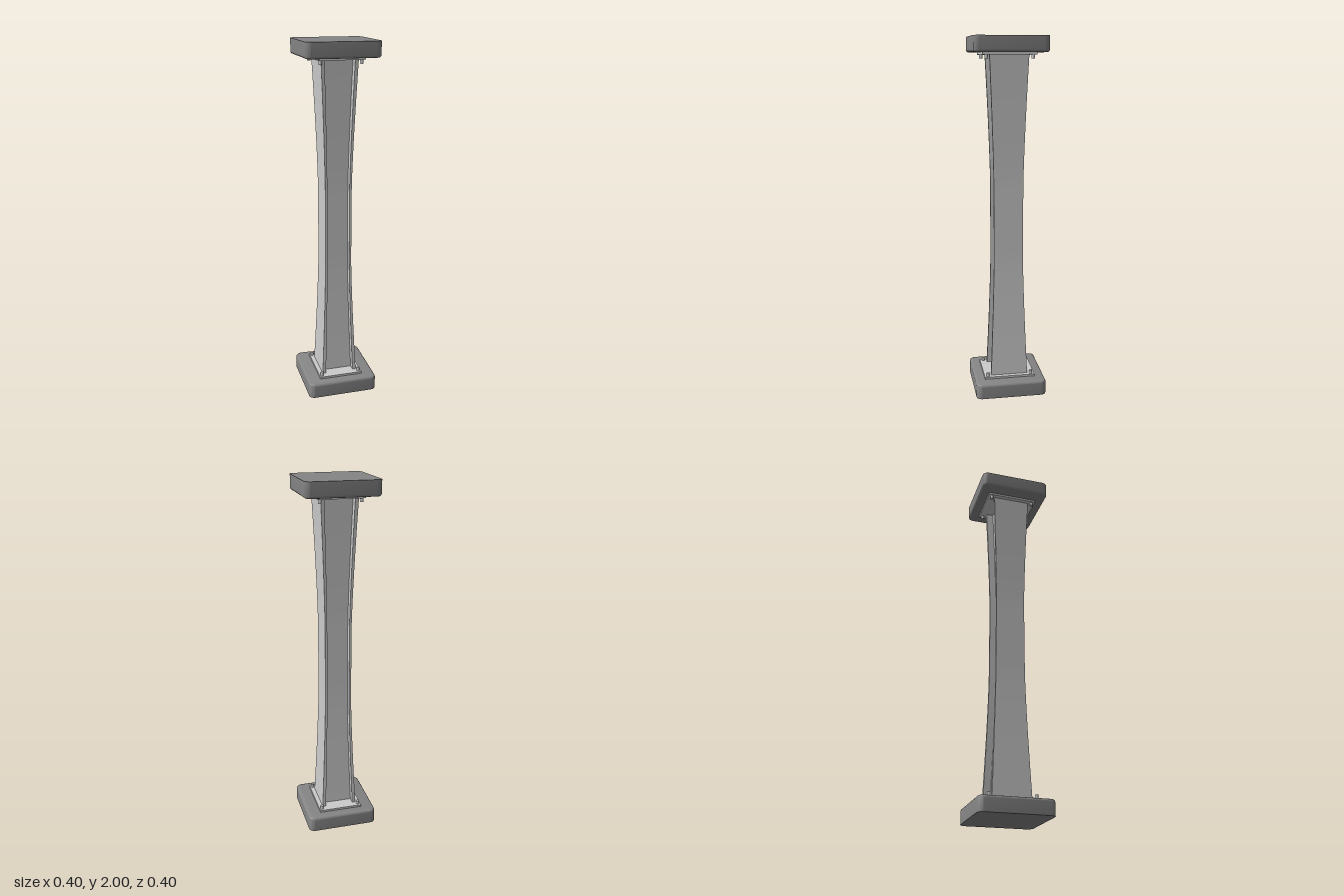
import * as THREE from 'three';
import { toCreasedNormals } from 'three/addons/utils/BufferGeometryUtils.js';

const steel = new THREE.MeshStandardMaterial({ color: 0xcccccc });
const darkStone = new THREE.MeshStandardMaterial({ color: 0x858585 });

// Solid through matching counter-clockwise outlines, one per height
function loft(outlines, heights) {
  const n = outlines[0].length;
  const positions = [];
  const index = [];
  outlines.forEach((ring, k) => ring.forEach((p) => positions.push(p.x, heights[k], -p.y)));
  for (let k = 0; k < outlines.length - 1; k++) {
    for (let i = 0; i < n; i++) {
      const a = k * n + i;
      const b = k * n + ((i + 1) % n);
      index.push(a, b, b + n, a, b + n, a + n);
    }
  }
  const top = (outlines.length - 1) * n;
  for (const [a, b, c] of THREE.ShapeUtils.triangulateShape(outlines[0], [])) index.push(c, b, a);
  for (const [a, b, c] of THREE.ShapeUtils.triangulateShape(outlines[outlines.length - 1], [])) {
    index.push(top + a, top + b, top + c);
  }
  const geometry = new THREE.BufferGeometry();
  geometry.setAttribute('position', new THREE.Float32BufferAttribute(positions, 3));
  geometry.setIndex(index);
  return toCreasedNormals(geometry, 0.5);
}

function roundedSquare(half, radius) {
  const points = [];
  const c = half - radius;
  [[1, 1], [-1, 1], [-1, -1], [1, -1]].forEach(([sx, sy], quarter) => {
    for (let i = 0; i <= 8; i++) {
      const a = (quarter + i / 8) * Math.PI / 2;
      points.push(new THREE.Vector2(sx * c + radius * Math.cos(a), sy * c + radius * Math.sin(a)));
    }
  });
  return points;
}

// I-shaped section: flanges on the left and right, thick web between them
function beamSection(flare) {
  const x = 0.075 + 0.026 * flare;
  const z = 0.082 + 0.024 * flare;
  const inner = x - 0.012 - 0.007 * flare;
  const web = z - 0.036 - 0.004 * flare;
  return [
    [x, -z], [x, z], [inner, z], [inner, web], [-inner, web], [-inner, z],
    [-x, z], [-x, -z], [-inner, -z], [-inner, -web], [inner, -web], [inner, -z],
  ].map(([px, py]) => new THREE.Vector2(px, py));
}

function addMesh(parent, name, geometry, material, x = 0, y = 0, z = 0) {
  const mesh = new THREE.Mesh(geometry, material);
  mesh.name = name;
  mesh.position.set(x, y, z);
  parent.add(mesh);
}

export function createModel() {
  const model = new THREE.Group();
  model.name = 'column';

  // Beam, narrow in the middle and flaring to both ends
  const sections = [];
  const heights = [];
  const steps = 40;
  for (let i = 0; i <= steps; i++) {
    const y = 0.09 + 1.82 * i / steps;
    const u = Math.max(0, (Math.abs(y - 1) - 0.2) / 0.71);
    sections.push(beamSection(Math.pow(u, 1.35)));
    heights.push(y);
  }
  addMesh(model, 'beam', loft(sections, heights), steel);

  // Block with a flat outer face and a rounded rim towards the beam
  const blockHeight = 0.084;
  const rim = 0.014;
  const rings = [roundedSquare(0.2, 0.032)];
  const levels = [0];
  for (let i = 0; i <= 6; i++) {
    const a = i / 6 * Math.PI / 2;
    const inset = rim * (1 - Math.cos(a));
    rings.push(roundedSquare(0.2 - inset, 0.032 - inset));
    levels.push(blockHeight - rim + rim * Math.sin(a));
  }
  const blockGeometry = loft(rings, levels);
  const plateGeometry = new THREE.BoxGeometry(0.25, 0.012, 0.29);
  const boltGeometry = new THREE.CylinderGeometry(0.009, 0.009, 0.024, 12);

  // The same end assembly, upright at the foot and turned over at the head
  for (const end of ['foot', 'head']) {
    const assembly = new THREE.Group();
    assembly.name = end;
    addMesh(assembly, 'block', blockGeometry, darkStone);
    addMesh(assembly, 'mountingPlate', plateGeometry, steel, 0, 0.09, 0);
    for (const sx of [-1, 1]) {
      for (const sz of [-1, 1]) addMesh(assembly, 'bolt', boltGeometry, steel, sx * 0.11, 0.105, sz * 0.125);
    }
    if (end === 'head') {
      assembly.rotation.z = Math.PI;
      assembly.position.y = 2;
    }
    model.add(assembly);
  }
  return model;
}
